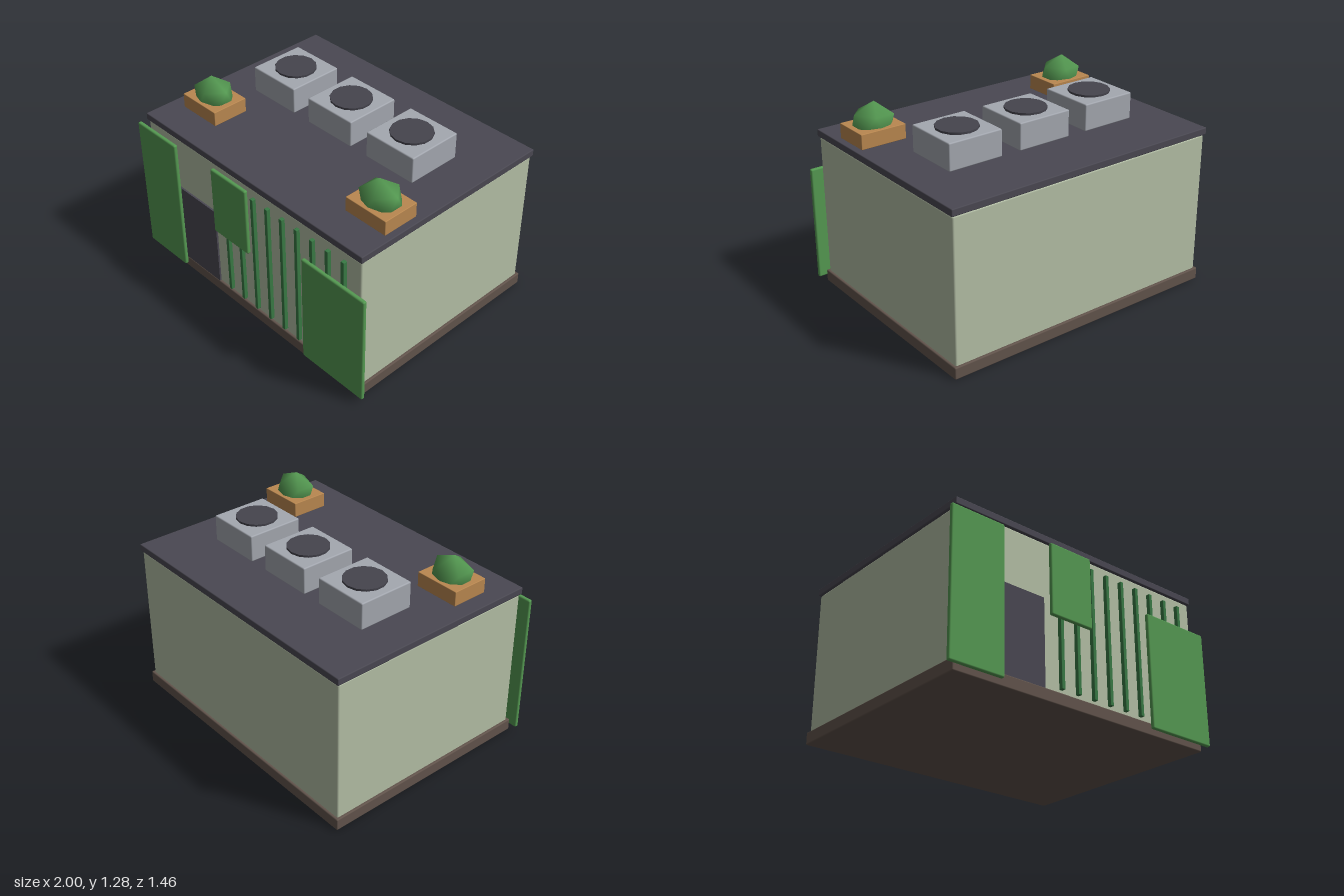
import * as THREE from 'three';
import { RoundedBoxGeometry } from 'three/addons/geometries/RoundedBoxGeometry.js';
import { mergeVertices } from 'three/addons/utils/BufferGeometryUtils.js';

const mat = (color) => new THREE.MeshStandardMaterial({ color });

export function createModel() {
  const model = new THREE.Group();
  model.name = 'building';
  const wallMat = mat(0xb4bfa6), baseMat = mat(0x62544c), roofMat = mat(0x4a4852);
  const greenMat = mat(0x559a52), stripMat = mat(0x397a45), unitMat = mat(0xa4a8b0);
  const woodMat = mat(0xba8850), leafMat = mat(0x559a52), fanMat = mat(0x45444d);

  const add = (name, geometry, material, parent = model) => {
    const mesh = new THREE.Mesh(geometry, material);
    mesh.name = name;
    parent.add(mesh);
    return mesh;
  };
  // Box given by its limits; a bevel above zero softens the edges
  const box = (name, [x0, x1], [y0, y1], [z0, z1], material, bevel = 0, parent = model) => {
    const size = [x1 - x0, y1 - y0, z1 - z0];
    const geometry = bevel ? new RoundedBoxGeometry(...size, 2, bevel) : new THREE.BoxGeometry(...size);
    const mesh = add(name, geometry, material, parent);
    mesh.position.set((x0 + x1) / 2, (y0 + y1) / 2, (z0 + z1) / 2);
    return mesh;
  };

  // Main volume
  box('base', [-0.953, 0.947], [0, 0.078], [-0.732, 0.702], baseMat, 0.008);
  box('walls', [-0.938, 0.932], [0.01, 0.998], [-0.717, 0.687], wallMat, 0.012);
  box('roof', [-0.948, 0.942], [1.0, 1.046], [-0.727, 0.697], roofMat, 0.006);

  // Front: door, vertical strips and overlapping panels
  box('door', [-0.66, -0.315], [0.07, 0.63], [0.68, 0.699], roofMat);
  for (let i = 0; i < 9; i++) {
    const x = -0.19 + i * 0.125;
    box('frontStrip', [x - 0.012, x + 0.012], [0.1, 0.942], [0.682, 0.712], stripMat, 0.003);
  }
  box('rightPanel', [-1, -0.63], [0.036, 0.97], [0.706, 0.733], greenMat, 0.01);
  box('middlePanel', [-0.284, 0.028], [0.525, 0.988], [0.706, 0.733], greenMat, 0.01);
  box('leftPanel', [0.5, 0.997], [0.036, 0.785], [0.706, 0.733], greenMat, 0.01);

  // Rooftop fan units
  for (const x of [-0.5, -0.003, 0.495]) {
    const unit = new THREE.Group();
    unit.name = 'fanUnit';
    model.add(unit);
    box('fanHousing', [x - 0.184, x + 0.184], [1.046, 1.218], [-0.33, 0.04], unitMat, 0.008, unit);
    const fan = add('fanDisc', new THREE.CylinderGeometry(0.131, 0.131, 0.03, 14), fanMat, unit);
    fan.position.set(x, 1.216, -0.145);
  }

  // Planters with faceted bushes; merged corners give smooth shading
  const bush = new THREE.IcosahedronGeometry(1, 0);
  bush.deleteAttribute('normal');
  bush.deleteAttribute('uv');
  const bushGeometry = mergeVertices(bush);
  bushGeometry.rotateZ(-0.45).scale(0.146, 0.133, 0.12);
  bushGeometry.computeVertexNormals();
  for (const x of [-0.69, 0.748]) {
    const planter = new THREE.Group();
    planter.name = 'planter';
    model.add(planter);
    box('planterBox', [x - 0.152, x + 0.152], [1.046, 1.142], [0.238, 0.482], woodMat, 0.004, planter);
    add('bush', bushGeometry, leafMat, planter).position.set(x, 1.148, 0.36);
  }
  return model;
}
